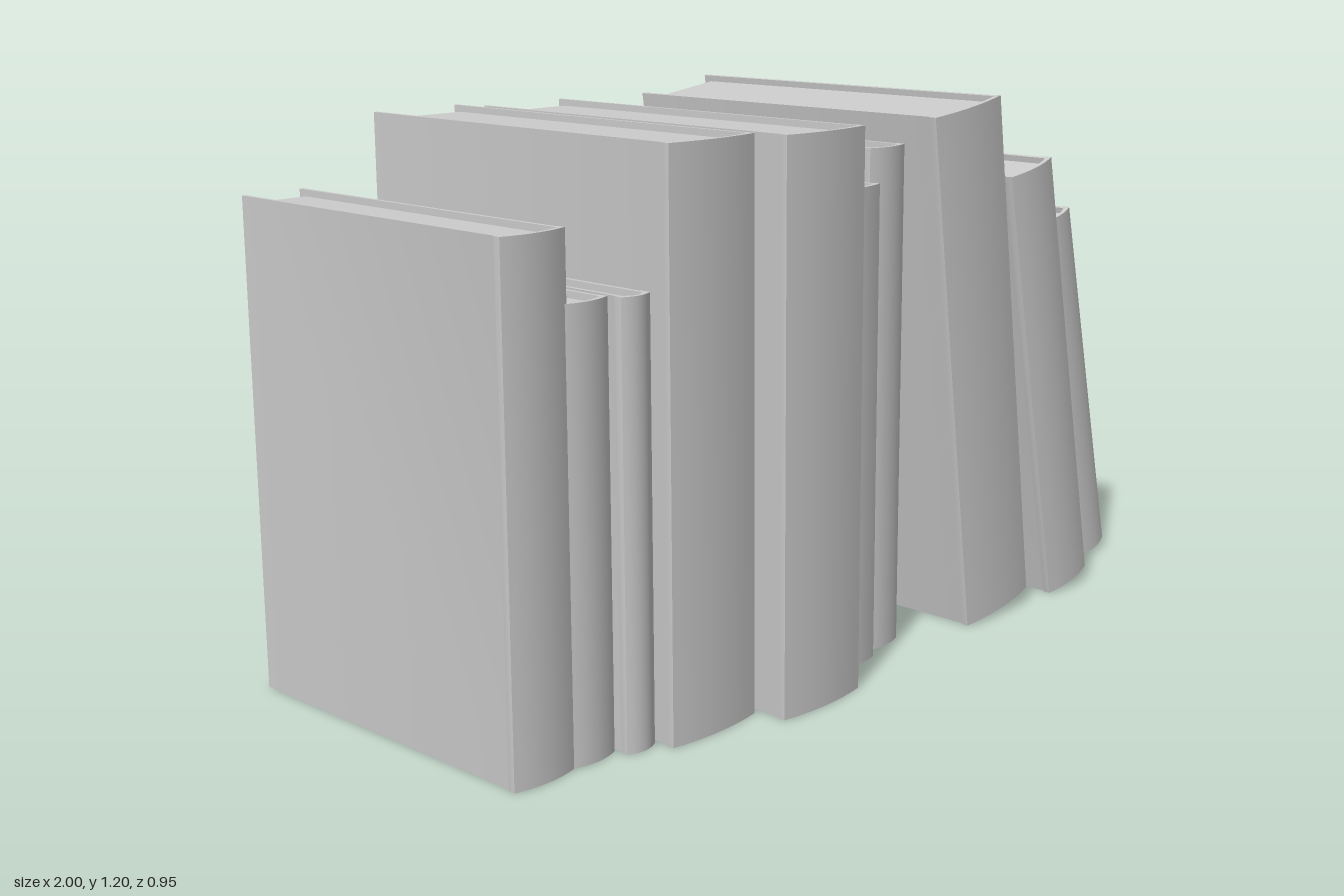
import * as THREE from 'three';
import { toCreasedNormals } from 'three/addons/utils/BufferGeometryUtils.js';

const material = new THREE.MeshStandardMaterial({ color: 0xcccccc });
const BOARD = 0.009;   // cover thickness
const HINGE = 0.004;   // how far the spine stands out beside the boards
const BOW = 0.012;     // bulge of the rounded spine
const INSET = 0.02;    // pages set back from the fore edge
const TRIM = 0.014;    // pages set in from the top and bottom

// Extrude a plan outline (shape y = -z) upwards
function extrudeUp(shape, height) {
  const geo = new THREE.ExtrudeGeometry(shape, { depth: height, bevelEnabled: false, curveSegments: 10 });
  geo.rotateX(-Math.PI / 2);
  return toCreasedNormals(geo, 0.5);
}

// A hardback whose lower left edge is at x = 0, y = 0
function makeBook(thick, height, back, front) {
  const book = new THREE.Group();
  const mid = thick / 2;
  const outer = front - BOW;
  const inner = outer - BOARD;
  const l = HINGE + BOARD, r = thick - l;

  // Two boards and a bowed spine in one U-shaped section
  const cover = new THREE.Shape();
  cover.moveTo(HINGE, -back);
  cover.lineTo(HINGE, -(outer - 0.022));
  cover.lineTo(0, -(outer - 0.014));
  cover.lineTo(0, -outer);
  cover.quadraticCurveTo(mid, -(outer + 2 * BOW), thick, -outer);
  cover.lineTo(thick, -(outer - 0.014));
  cover.lineTo(thick - HINGE, -(outer - 0.022));
  cover.lineTo(thick - HINGE, -back);
  cover.lineTo(r, -back);
  cover.lineTo(r, -inner);
  cover.quadraticCurveTo(mid, -(inner + 2 * BOW), l, -inner);
  cover.lineTo(l, -back);
  cover.closePath();
  const coverMesh = new THREE.Mesh(extrudeUp(cover, height), material);
  coverMesh.name = 'cover';

  // Page block filling the inside of the cover
  const pages = new THREE.Shape();
  pages.moveTo(l, -(back + INSET));
  pages.lineTo(l, -inner);
  pages.quadraticCurveTo(mid, -(inner + 2 * BOW), r, -inner);
  pages.lineTo(r, -(back + INSET));
  pages.closePath();
  const pageMesh = new THREE.Mesh(extrudeUp(pages, height - 2 * TRIM), material);
  pageMesh.position.y = TRIM;
  pageMesh.name = 'pages';

  book.add(coverMesh, pageMesh);
  return book;
}

export function createModel() {
  const model = new THREE.Group();
  model.name = 'rowOfBooks';
  // left x, thickness, height, back z, front z, lean in degrees
  const books = [
    [-1.0, 0.155, 1.04, -0.46, 0.33, 0],
    [-0.855, 0.113, 0.9, -0.46, 0.33, 0],
    [-0.737, 0.076, 0.9, -0.435, 0.36, 0],
    [-0.655, 0.236, 1.18, -0.475, 0.405, 0],
    [-0.406, 0.236, 1.18, -0.41, 0.475, 0],
    [-0.166, 0.162, 1.04, -0.41, 0.383, 0],
    [0.004, 0.116, 1.11, -0.445, 0.35, 0],
    [0.289, 0.236, 1.18, -0.46, 0.425, 7.8],
    [0.604, 0.157, 1.04, -0.362, 0.437, 11.5],
    [0.783, 0.073, 0.9, -0.433, 0.365, 12.1],
    [0.887, 0.114, 0.9, -0.46, 0.335, 13.4],
  ];
  books.forEach(([x, thick, height, back, front, lean], i) => {
    const book = makeBook(thick, height, back, front);
    book.name = (lean ? 'leaningBook' : 'uprightBook') + (i + 1);
    book.position.x = x;
    book.rotation.z = THREE.MathUtils.degToRad(lean);
    model.add(book);
  });
  return model;
}
